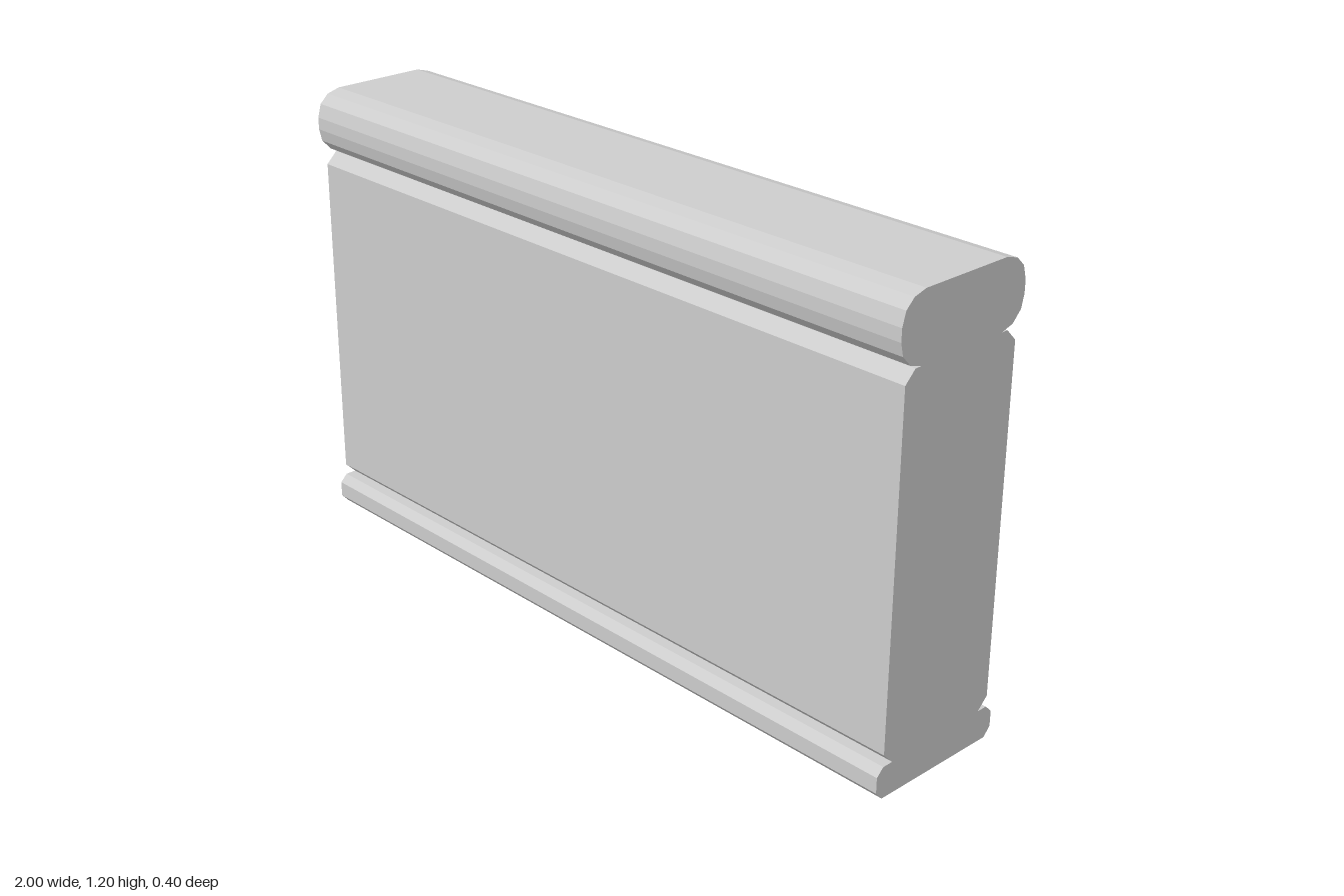
import * as THREE from 'three';

const LENGTH = 2;

// Half of the wall's cross-section, bottom to top: [depth, height]
const HALF_PROFILE = [
  // plinth moulding
  [0.18, 0], [0.2, 0.022], [0.2, 0.063], [0.18, 0.083], [0.15, 0.083],
  // main panel with chamfered edges
  [0.18, 0.113], [0.18, 1.0], [0.15, 1.03],
  // rounded coping
  [0.13, 1.03], [0.166, 1.04], [0.192, 1.067], [0.2, 1.1], [0.2, 1.132],
  [0.19, 1.167], [0.166, 1.19], [0.13, 1.2],
];

export function createModel() {
  const stone = new THREE.MeshStandardMaterial({ color: 0xcccccc, flatShading: true });
  stone.name = 'pale grey stone';

  // Mirror the half profile to close the section
  const mirrored = HALF_PROFILE.map(([d, y]) => [-d, y]).reverse();
  const outline = [...HALF_PROFILE, ...mirrored].map(([d, y]) => new THREE.Vector2(d, y));

  // Sweep the section along x
  const geometry = new THREE.ExtrudeGeometry(new THREE.Shape(outline), {
    depth: LENGTH, steps: 1, bevelEnabled: false,
  });
  geometry.translate(0, 0, -LENGTH / 2);
  geometry.rotateY(Math.PI / 2);

  const wall = new THREE.Mesh(geometry, stone);
  wall.name = 'mouldedWall';

  const model = new THREE.Group();
  model.name = 'lowWall';
  model.add(wall);
  return model;
}
